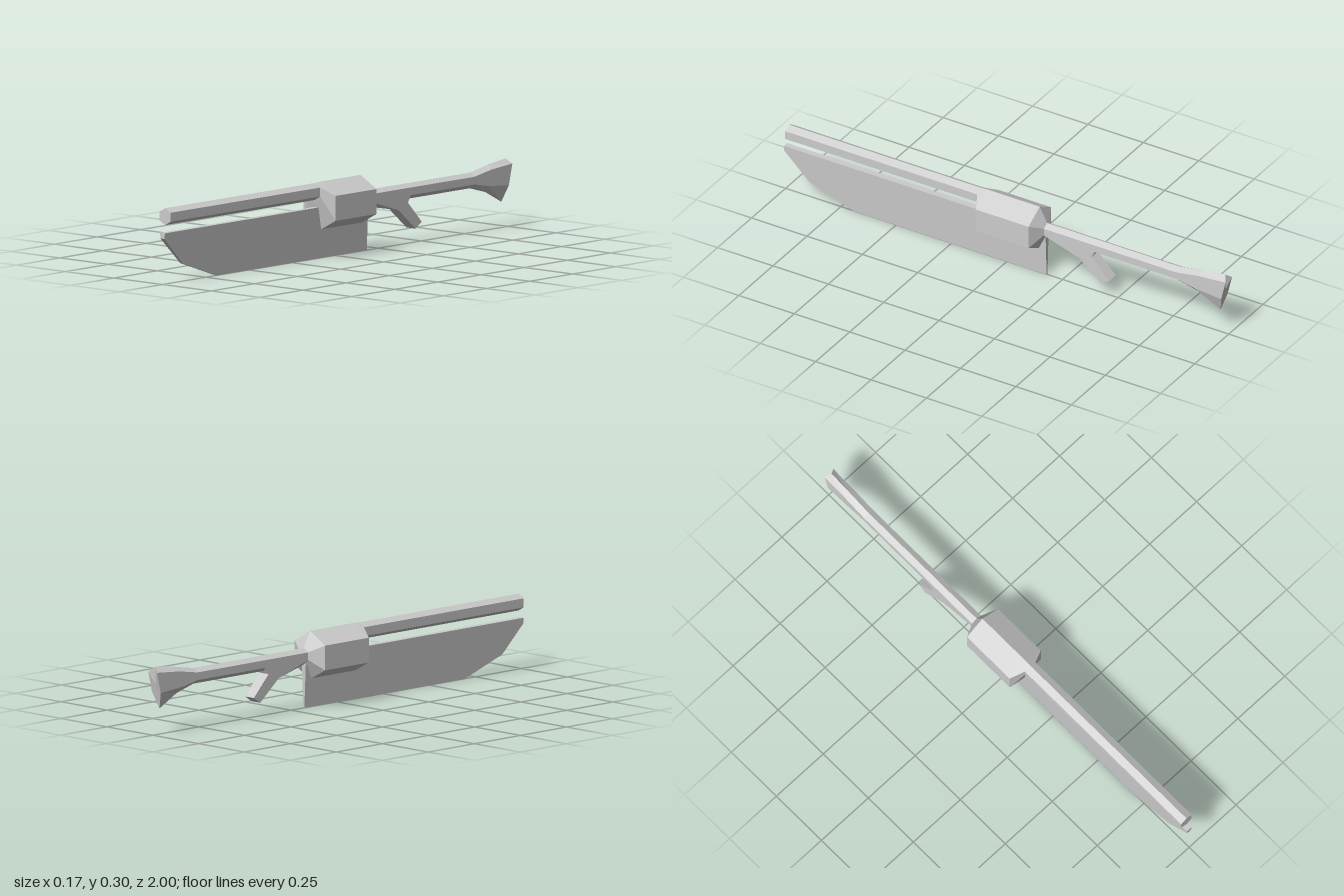
import * as THREE from 'three';

const material = new THREE.MeshStandardMaterial({ color: 0xcccccc, flatShading: true });

function makeMesh(name, geometry) {
  const mesh = new THREE.Mesh(geometry, material);
  mesh.name = name;
  return mesh;
}

// Skin over rings of [x, y, z], counter-clockwise seen from +z and listed front to back
function loft(rings) {
  const out = [];
  const n = rings[0].length;
  const centre = ring => [0, 1, 2].map(k => ring.reduce((sum, p) => sum + p[k], 0) / n);
  const first = rings[0], last = rings[rings.length - 1];
  for (let i = 0; i < n; i++) {
    const j = (i + 1) % n;
    for (let r = 0; r < rings.length - 1; r++) {
      const a = rings[r], b = rings[r + 1];
      out.push(a[i], b[i], a[j], b[i], b[j], a[j]);
    }
    out.push(centre(first), first[i], first[j], centre(last), last[j], last[i]);
  }
  const geometry = new THREE.BufferGeometry();
  geometry.setAttribute('position', new THREE.Float32BufferAttribute(out.flat(), 3));
  geometry.computeVertexNormals();
  return geometry;
}

// Upright hexagon: bottom point, lower sides, upper sides, top point; z may differ at each height
function hex(w, [bottom, low, high, top], z) {
  const [zb, zl, zh, zt] = Array.isArray(z) ? z : [z, z, z, z];
  return [[0, bottom, zb], [w, low, zl], [w, high, zh], [0, top, zt], [-w, high, zh], [-w, low, zl]];
}

// Side outline of [z, y] given thickness in x by halfWidth(y)
function slab(outline, halfWidth) {
  const shape = new THREE.Shape(outline.map(([z, y]) => new THREE.Vector2(-z, y)));
  const geometry = new THREE.ExtrudeGeometry(shape, { depth: 2, bevelEnabled: false });
  geometry.translate(0, 0, -1).rotateY(Math.PI / 2);
  const p = geometry.attributes.position;
  for (let i = 0; i < p.count; i++) p.setX(i, p.getX(i) * halfWidth(p.getY(i)));
  geometry.computeVertexNormals();
  return geometry;
}

export function createModel() {
  const model = new THREE.Group();
  model.name = 'bladedRifle';

  const barrelY = [0.229, 0.245, 0.28, 0.295];
  const bodyY = [0.108, 0.153, 0.25, 0.297];
  const stockY = [0.173, 0.19, 0.22, 0.234];

  // Long hexagonal barrel
  model.add(makeMesh('barrel', loft([hex(0.028, barrelY, 0.985), hex(0.028, barrelY, 0.1)])));

  // Hexagonal body, tapering into barrel and stock
  model.add(makeMesh('body', loft([
    hex(0.028, barrelY, 0.118),
    hex(0.083, bodyY, 0.09),
    hex(0.083, bodyY, -0.147),
    hex(0.024, stockY, -0.18),
  ])));

  // Blade under the barrel, thinning toward its lower edge
  model.add(makeMesh('blade', slab(
    [[1, 0.2], [1, 0.178], [0.89, 0.07], [0.69, 0], [-0.18, 0], [-0.18, 0.2]],
    y => 0.003 + 0.009 * y / 0.2,
  )));

  // Stock flaring into a slanted butt
  model.add(makeMesh('stock', loft([
    hex(0.024, stockY, -0.17),
    hex(0.024, stockY, -0.78),
    hex(0.024, [0.148, 0.175, 0.237, 0.254], [-0.87, -0.86, -0.88, -0.89]),
    hex(0.024, [0.1, 0.165, 0.247, 0.266], [-0.963, -0.98, -1, -0.985]),
  ])));

  // Angled grip, with a keel fairing it into the stock
  model.add(makeMesh('grip', slab(
    [[-0.18, 0.19], [-0.34, 0.14], [-0.44, 0.057], [-0.475, 0.08], [-0.395, 0.163], [-0.41, 0.19]],
    () => 0.024,
  )));
  model.add(makeMesh('gripKeel', loft([
    [[0, 0.17, -0.18], [0.024, 0.19, -0.18], [-0.024, 0.19, -0.18]],
    [[0, 0.14, -0.34], [0.024, 0.14, -0.34], [-0.024, 0.14, -0.34]],
  ])));

  return model;
}
